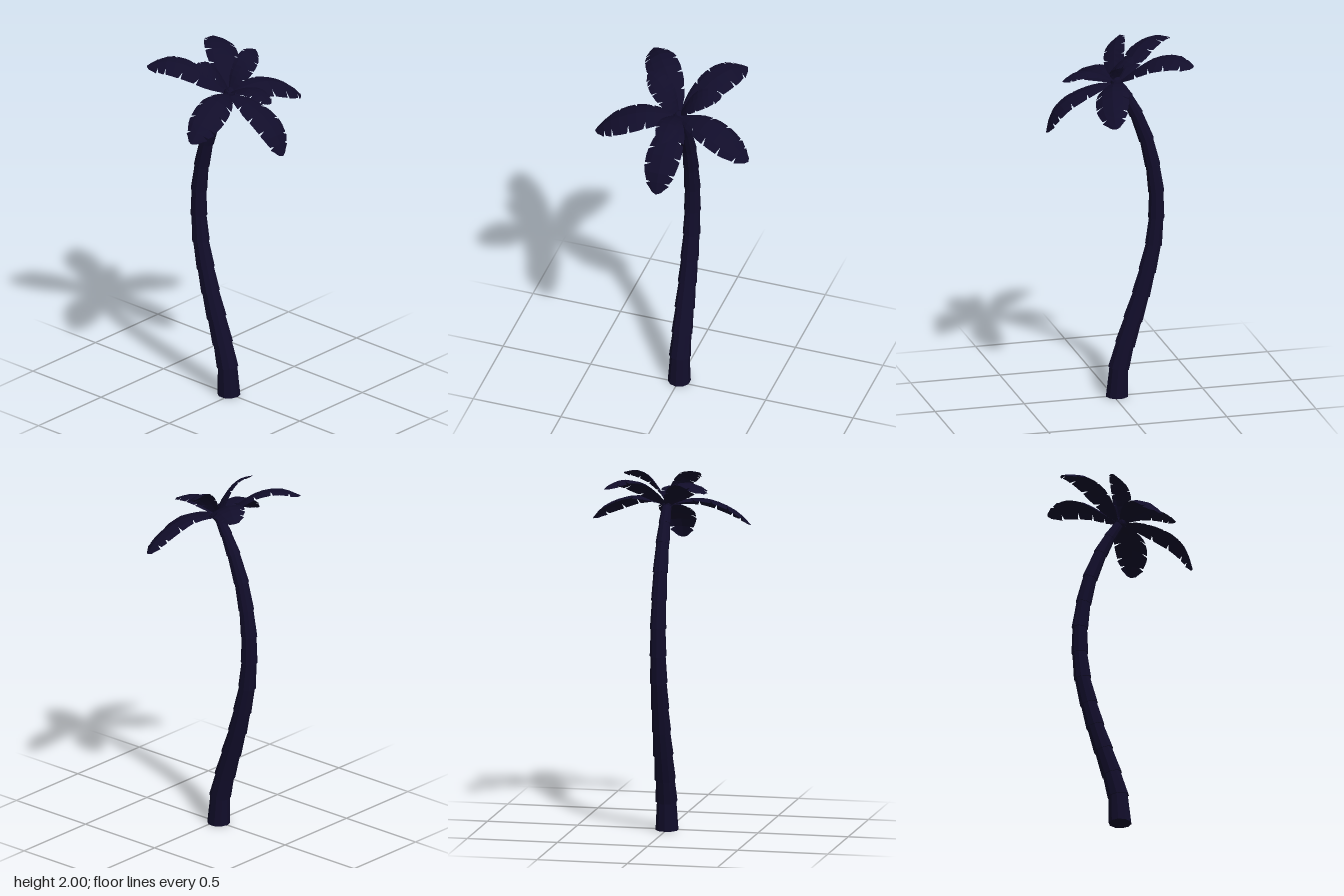
import * as THREE from 'three';

const V = (x, y, z) => new THREE.Vector3(x, y, z);
const UP = V(0, 1, 0);
const bark = new THREE.MeshStandardMaterial({ color: 0x110d2a, flatShading: true });
const leaf = new THREE.MeshStandardMaterial({ color: 0x110d2a, flatShading: true, side: THREE.DoubleSide });

// Trunk axis as [y, z, radius]; each step is one bark segment
const AXIS = [
  [0, -0.02, 0.06], [0.16, -0.03, 0.057], [0.29, -0.065, 0.055], [0.43, -0.11, 0.053],
  [0.57, -0.155, 0.05], [0.70, -0.19, 0.048], [0.85, -0.225, 0.046], [1.0, -0.24, 0.044],
  [1.15, -0.24, 0.043], [1.3, -0.22, 0.041], [1.45, -0.185, 0.04], [1.6, -0.128, 0.037],
  [1.7, -0.077, 0.032], [1.79, -0.02, 0.026],
];

// One bark segment, flared at its foot, with ends mitred to the trunk's bend
function trunkSegment(i) {
  const axisPoint = (k) => V(0, AXIS[k][0], AXIS[k][1]);
  const turn = (k) => {
    const d = k === 0 ? UP.clone()
      : axisPoint(Math.min(k + 1, AXIS.length - 1)).sub(axisPoint(k - 1)).normalize();
    return new THREE.Quaternion().setFromUnitVectors(UP, d);
  };
  const geo = new THREE.CylinderGeometry(AXIS[i + 1][2] * 0.93, AXIS[i][2] * 1.04, 1, 10);
  const pos = geo.attributes.position;
  for (let k = 0; k < pos.count; k++) {
    const end = pos.getY(k) > 0 ? i + 1 : i;
    const p = V(pos.getX(k), 0, pos.getZ(k)).applyQuaternion(turn(end)).add(axisPoint(end));
    pos.setXYZ(k, p.x, p.y, p.z);
  }
  geo.computeVertexNormals();
  const mesh = new THREE.Mesh(geo, bark);
  mesh.name = 'trunkSegment' + (i + 1);
  return mesh;
}

// Blade outline: position along the midrib and relative half width
const ROWS = [0, 0.08, 0.17, 0.27, 0.37, 0.47, 0.57, 0.67, 0.77, 0.87, 0.94, 0.98, 1];
const WIDTH = [0.12, 0.32, 0.58, 0.78, 0.91, 0.98, 1, 0.97, 0.88, 0.68, 0.46, 0.27, 0.04];
const COLS = [-1, -0.62, 0, 0.62, 1];
const NOTCHES = { '-1': [4, 6, 8, 9], 1: [3, 5, 7, 9] };

// Arched blade along a midrib; droop bends the edges down, roll tips the blade sideways
function frond(name, points, halfWidth, droop, roll) {
  const curve = new THREE.CatmullRomCurve3(points.map((p) => V(...p)));
  const at = (u, row, gap) => {
    const t = Math.min(ROWS[row] + gap, 1);
    const w = halfWidth * WIDTH[row];
    const tangent = curve.getTangentAt(t);
    const side = tangent.clone().cross(UP).normalize();
    const normal = side.clone().cross(tangent);
    return curve.getPointAt(t)
      .addScaledVector(side, u * w * Math.cos(roll))
      .addScaledVector(normal, u * w * Math.sin(roll) - droop * w * u * u);
  };
  const verts = [];
  for (let r = 0; r < ROWS.length - 1; r++) {
    for (let c = 0; c < COLS.length - 1; c++) {
      // A notch opens where the outer corner starts late
      const corner = (col, row) => {
        const u = COLS[col];
        const cut = row === r && Math.abs(u) === 1 && NOTCHES[u].includes(r);
        return at(u, row, cut ? 0.03 : 0);
      };
      const [a, b, d, e] = [corner(c, r), corner(c + 1, r), corner(c + 1, r + 1), corner(c, r + 1)];
      // Split along the diagonal that mirrors about the midrib
      const tris = c < 2 ? [a, b, d, a, d, e] : [a, b, e, b, d, e];
      for (const p of tris) verts.push(p.x, p.y, p.z);
    }
  }
  const geo = new THREE.BufferGeometry();
  geo.setAttribute('position', new THREE.Float32BufferAttribute(verts, 3));
  geo.computeVertexNormals();
  const mesh = new THREE.Mesh(geo, leaf);
  mesh.name = name;
  return mesh;
}

export function createModel() {
  const model = new THREE.Group();
  model.name = 'palmTree';

  const trunk = new THREE.Group();
  trunk.name = 'trunk';
  for (let i = 0; i < AXIS.length - 1; i++) trunk.add(trunkSegment(i));

  const crown = new THREE.Group();
  crown.name = 'crown';
  const heart = new THREE.Mesh(new THREE.IcosahedronGeometry(0.032, 1), bark);
  heart.name = 'crownHeart';
  heart.position.set(0, 1.795, -0.015);
  crown.add(heart);

  // Front fronds: a long drooping one and a short one above it
  crown.add(frond('frontFrond',
    [[0, 1.79, -0.02], [0, 1.785, 0.08], [0, 1.757, 0.175], [0, 1.71, 0.27], [0, 1.64, 0.338], [0, 1.54, 0.377]],
    0.096, 0.22, 0));
  crown.add(frond('upperFrontFrond',
    [[0, 1.8, -0.01], [0, 1.84, 0.06], [0, 1.862, 0.14], [0, 1.855, 0.21], [0, 1.82, 0.285]],
    0.065, 0.2, 0));

  // Mirrored pairs: low side fronds and long back fronds
  for (const [s, label] of [[1, 'left'], [-1, 'right']]) {
    crown.add(frond(label + 'SideFrond',
      [[0, 1.79, -0.02], [s * 0.1, 1.82, 0.025], [s * 0.2, 1.82, 0.06], [s * 0.3, 1.785, 0.085],
        [s * 0.38, 1.735, 0.1], [s * 0.438, 1.675, 0.105]],
      0.093, 0.35, s * -0.28));
    crown.add(frond(label + 'BackFrond',
      [[0, 1.79, -0.03], [s * 0.065, 1.875, -0.105], [s * 0.135, 1.945, -0.19], [s * 0.205, 1.967, -0.285],
        [s * 0.268, 1.932, -0.377]],
      0.093, 0.3, s * -0.22));
  }

  // Short fronds rising above the sides
  crown.add(frond('upperLeftFrond',
    [[0, 1.8, -0.015], [0.05, 1.885, -0.005], [0.11, 1.945, -0.005], [0.17, 1.97, -0.018], [0.235, 1.965, -0.04]],
    0.062, 0.25, -0.5));
  crown.add(frond('upperRightFrond',
    [[0, 1.8, -0.015], [-0.045, 1.885, -0.015], [-0.095, 1.95, -0.03], [-0.145, 1.983, -0.055], [-0.198, 1.99, -0.088]],
    0.066, 0.25, 0.5));

  model.add(trunk, crown);
  return model;
}
